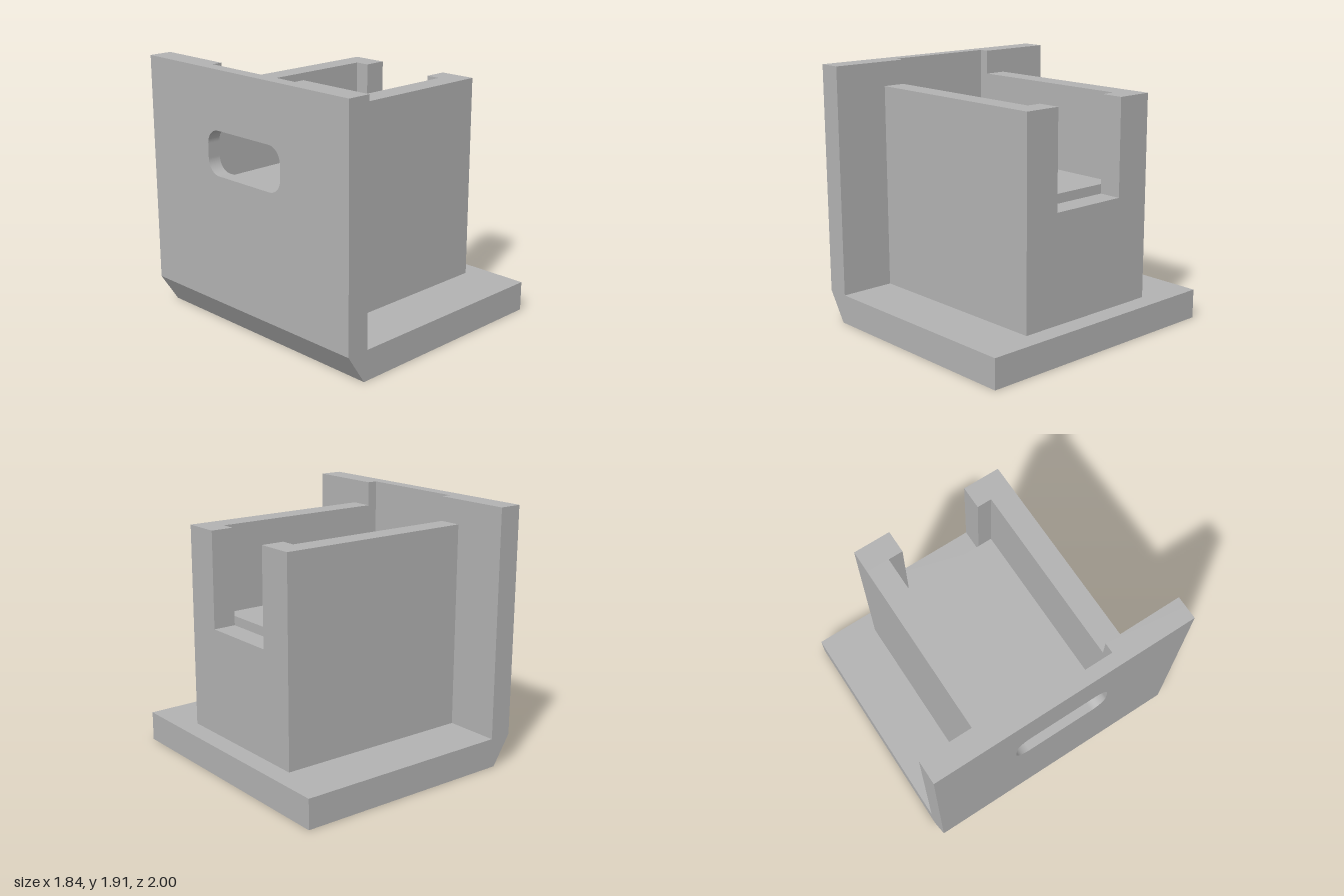
import * as THREE from 'three';

export function createModel() {
  const model = new THREE.Group();
  const grey = new THREE.MeshStandardMaterial({ color: 0xb2b2b2 });
  grey.name = 'plain grey';

  const polygon = pts => new THREE.Shape(pts.map(([x, y]) => new THREE.Vector2(x, y)));

  function add(name, geometry) {
    const mesh = new THREE.Mesh(geometry, grey);
    mesh.name = name;
    model.add(mesh);
  }

  // Extrudes a shape drawn in the z-y plane from x0 to x1
  function slab(name, shape, x0, x1) {
    const geometry = new THREE.ExtrudeGeometry(shape, { depth: x1 - x0, bevelEnabled: false, curveSegments: 12 });
    add(name, geometry.rotateY(Math.PI / 2).translate(x0, 0, 0));
  }

  // U-shaped outline: a block with a centred notch open at the top
  const uShape = (half, top, notchHalf, notchBottom) => polygon([
    [-half, BASE], [half, BASE], [half, top], [notchHalf, top],
    [notchHalf, notchBottom], [-notchHalf, notchBottom], [-notchHalf, top], [-half, top],
  ]);

  // Rounded rectangle for the wall slot
  function slot(half, y0, y1, r) {
    const p = new THREE.Path();
    p.absarc(half - r, y0 + r, r, -Math.PI / 2, 0);
    p.absarc(half - r, y1 - r, r, 0, Math.PI / 2);
    p.absarc(-half + r, y1 - r, r, Math.PI / 2, Math.PI);
    p.absarc(-half + r, y0 + r, r, Math.PI, Math.PI * 1.5);
    p.closePath();
    return p;
  }

  const BASE = 0.22, WALL_TOP = 1.915, BOX_TOP = 1.735, FLOOR = 1.09;

  // Base plate with a chamfered lower edge
  const base = polygon([[-0.775, 0], [0.918, 0], [0.918, BASE], [-0.918, BASE]]);
  add('basePlate', new THREE.ExtrudeGeometry(base, { depth: 2, bevelEnabled: false }).translate(0, 0, -1));

  // Upright wall: slotted outer layer and recessed inner layer
  const outer = polygon([[-1, BASE], [1, BASE], [1, WALL_TOP], [-1, WALL_TOP]]);
  outer.holes.push(slot(0.37, 1.165, 1.49, 0.11));
  slab('wallOuterLayer', outer, -0.918, -0.82);
  slab('wallInnerLayer', uShape(1, WALL_TOP, 0.415, FLOOR), -0.82, -0.745);

  // Housing: open pocket, then the end wall with its narrower notch
  slab('housingBody', uShape(0.585, BOX_TOP, 0.415, FLOOR), -0.745, 0.597);
  slab('housingEndWall', uShape(0.585, BOX_TOP, 0.305, 1.02), 0.597, 0.77);

  return model;
}
